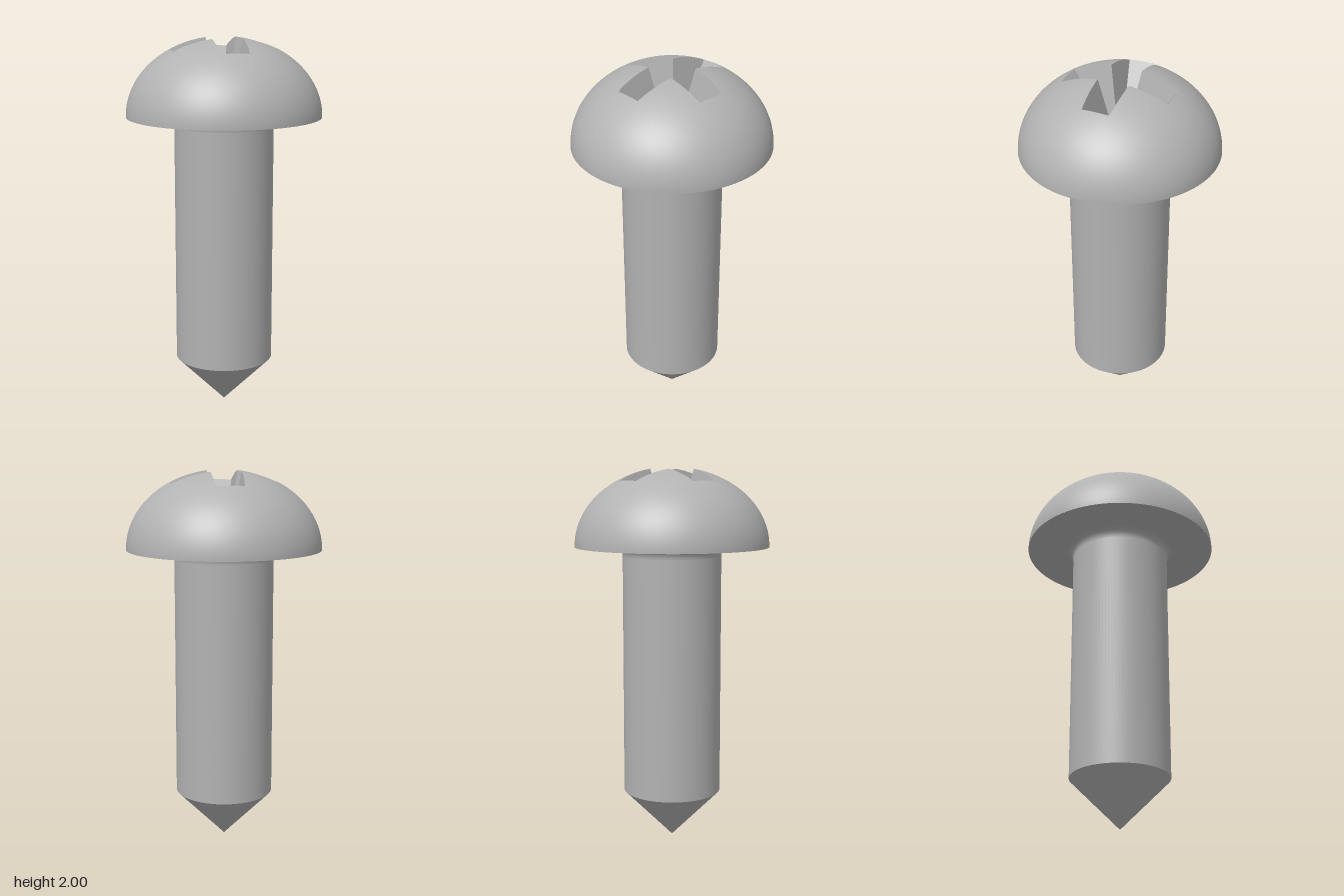
import * as THREE from 'three';

const HEAD_R = 0.515, HEAD_Y = 1.595, HEAD_H = 0.4155; // dome: half ellipsoid
const SHANK_R = 0.262, TIP_Y = 0.265;
const APEX = new THREE.Vector3(0, 1.56, 0);            // deepest point of the recess
const domeY = r => HEAD_Y + HEAD_H * Math.sqrt(Math.max(0, 1 - (r / HEAD_R) ** 2));

// Carry a point along the ray from the recess apex until it meets the dome
function projectToDome(p) {
  const d = p.clone().sub(APEX);
  let lo = 0.5, hi = 1.5;
  for (let i = 0; i < 40; i++) {
    const t = (lo + hi) / 2;
    if (APEX.y + d.y * t < domeY(Math.hypot(d.x, d.z) * t)) lo = t; else hi = t;
  }
  return APEX.clone().addScaledVector(d, lo);
}

// Rim of the cross recess: one arm's three corners, turned four times
function recessRim(steps) {
  const corners = [];
  for (let k = 0; k < 4; k++) {
    for (const [r, deg] of [[0.115, -16.5], [0.289, 14.8], [0.289, 43.5]]) {
      const a = THREE.MathUtils.degToRad(deg + 90 * k);
      corners.push(new THREE.Vector3(r * Math.cos(a), domeY(r), r * Math.sin(a)));
    }
  }
  const rim = [];
  corners.forEach((c, i) => {
    const next = corners[(i + 1) % corners.length];
    for (let s = 0; s < steps; s++) rim.push(projectToDome(c.clone().lerp(next, s / steps)));
  });
  return rim;
}

// Smooth dome surface from the recess rim out to the edge of the head
function domeGeometry(rim, rings) {
  const pos = [], nor = [], idx = [], n = rim.length;
  rim.forEach(p => {
    const a = Math.atan2(p.z, p.x), r0 = Math.hypot(p.x, p.z);
    const t0 = Math.asin(r0 / HEAD_R);
    for (let j = 0; j <= rings; j++) {
      const t = t0 + (Math.PI / 2 - t0) * j / rings;
      const r = HEAD_R * Math.sin(t), h = HEAD_H * Math.cos(t);
      pos.push(r * Math.cos(a), HEAD_Y + h, r * Math.sin(a));
      const v = new THREE.Vector3(Math.cos(a) * Math.sin(t) / HEAD_R, Math.cos(t) / HEAD_H,
        Math.sin(a) * Math.sin(t) / HEAD_R).normalize();
      nor.push(v.x, v.y, v.z);
    }
  });
  const w = rings + 1;
  for (let i = 0; i < n; i++) {
    for (let j = 0; j < rings; j++) {
      const a = i * w + j, b = ((i + 1) % n) * w + j;
      idx.push(a, b, a + 1, b, b + 1, a + 1);
    }
  }
  const g = new THREE.BufferGeometry();
  g.setAttribute('position', new THREE.Float32BufferAttribute(pos, 3));
  g.setAttribute('normal', new THREE.Float32BufferAttribute(nor, 3));
  g.setIndex(idx);
  return g;
}

// Flat recess walls, all meeting at the apex
function recessGeometry(rim) {
  const pts = [];
  rim.forEach((p, i) => pts.push(APEX, rim[(i + 1) % rim.length], p));
  const g = new THREE.BufferGeometry().setFromPoints(pts);
  g.computeVertexNormals();
  return g;
}

export function createModel() {
  const group = new THREE.Group();
  group.name = 'screw';
  const steel = new THREE.MeshStandardMaterial({ color: 0xb2b2b2 });
  steel.name = 'steel grey';
  const add = (name, geometry) => {
    const mesh = new THREE.Mesh(geometry, steel);
    mesh.name = name;
    group.add(mesh);
  };
  const lathe = points => new THREE.LatheGeometry(points.map(p => new THREE.Vector2(...p)), 96);

  // Head
  const rim = recessRim(10);
  add('headDome', domeGeometry(rim, 24));
  add('crossRecess', recessGeometry(rim));
  add('headUnderside', lathe([[0.312, HEAD_Y], [HEAD_R, HEAD_Y]]));

  // Fillet under the head
  const fillet = [];
  for (let i = 0; i <= 8; i++) {
    const a = Math.PI / 2 * i / 8;
    fillet.push([SHANK_R + 0.05 * (1 - Math.cos(a)), HEAD_Y - 0.05 + 0.05 * Math.sin(a)]);
  }
  add('neckFillet', lathe(fillet));

  // Shank and point
  add('shank', lathe([[SHANK_R, TIP_Y], [SHANK_R, HEAD_Y - 0.05]]));
  add('tip', lathe([[0, 0], [SHANK_R, TIP_Y]]));
  return group;
}
